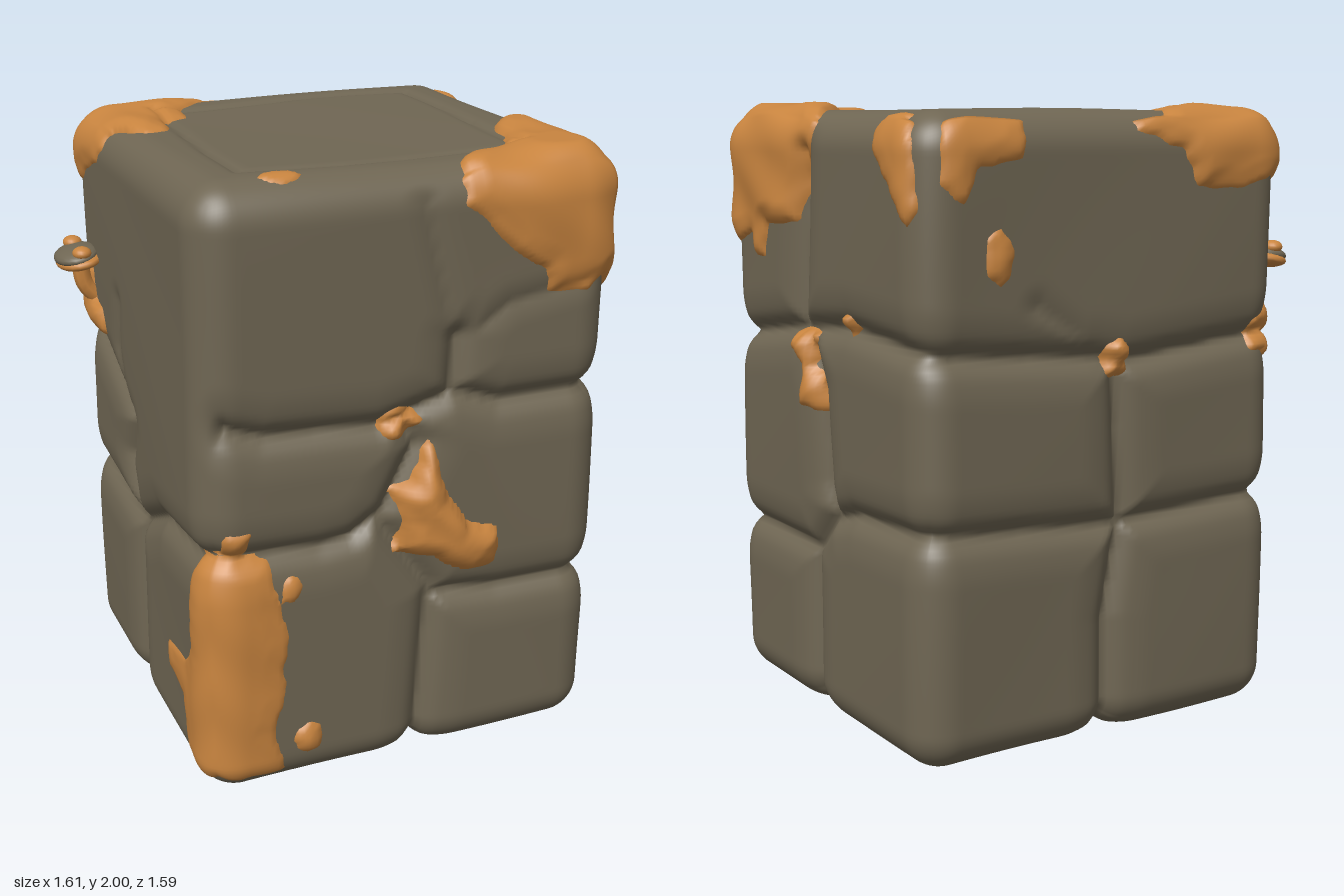
import * as THREE from 'three';
import { mergeVertices } from 'three/addons/utils/BufferGeometryUtils.js';

const HX = 0.68, HZ = 0.658, HEIGHT = 1.965, BASE = 0.008, R = 0.125; // half widths, height, foot, edge radius
const EDGE = 0.64, LOOP = 8 * EDGE; // sides unroll to a strip: front, right, back, left

// Joints between stones as polylines of (distance round the block, height)
const BEDS = [
  [[-0.58, 1.26], [-0.45, 1.22], [-0.1, 1.2], [0.14, 1.27], [0.28, 1.22], [0.64, 1.22],
    [0.75, 1.23], [1.1, 1.28], [1.45, 1.31], [1.92, 1.27], [2.5, 1.23], [2.6, 1.21], [3.2, 1.27],
    [3.65, 1.08], [3.71, 1.03]],
  [[0.075, 0.59], [0.3, 0.57], [0.73, 0.57], [1.19, 0.56], [1.3, 0.68], [1.45, 0.72],
    [1.92, 0.74], [2.58, 0.7], [3.2, 0.73], [3.74, 0.66], [4.0, 0.79], [4.48, 0.85],
    [4.84, 0.83], [4.94, 0.84], [5.03, 0.9]],
];
const UPRIGHTS = [
  [[0.14, 1.45], [0.13, 1.27]],
  [[-0.02, 1.2], [0.02, 1.12], [-0.09, 0.88], [0.075, 0.62], [0.06, 0.4], [0.035, 0]],
  [[1.18, 1.85], [1.14, 1.27]],
  [[1.19, 1.27], [1.27, 1.1], [1.29, 0.8], [1.32, 0.7]],
  [[1.19, 0.56], [1.2, 0]],
  [[2.58, 1.21], [2.61, 0.71], [2.56, 0.4], [2.56, 0]],
  [[3.73, 1.03], [3.66, 0.87], [3.74, 0.66], [3.74, 0]],
];
const CRACKS = [
  [[0.03, 1.88], [0.13, 1.42], [0.3, 1.54], [0.53, 1.58]],
  [[3.71, 1.04], [3.63, 1.25], [3.66, 1.42]],
  [[2.3, 1.4], [2.55, 1.22]],
];

// Moss outlines on the strip
const FRONT_CORNER = [[0.15, 2.3], [0.15, 1.86], [0.22, 1.8], [0.3, 1.7], [0.4, 1.64], [0.42, 1.56],
  [0.55, 1.55], [0.62, 1.6], [0.7, 1.54], [0.83, 1.57], [0.86, 1.5], [0.92, 1.5], [0.95, 1.61],
  [1.13, 1.62], [1.18, 1.78], [1.24, 1.9], [1.24, 2.3]];
const BACK_CORNER = [[2.64, 2.3], [2.64, 1.92], [2.8, 1.85], [2.85, 1.74], [3, 1.73], [3.15, 1.77],
  [3.3, 1.74], [3.4, 1.81], [3.5, 1.84], [3.54, 1.9], [3.54, 2.3]];
const LOW_CORNER = [[-0.76, 0.85], [-0.78, 0.5], [-0.85, 0.42], [-1.03, 0.4], [-1.03, 0.3], [-0.88, 0.28],
  [-0.85, 0.1], [-0.7, 0.05], [-0.39, 0.06], [-0.42, 0.15], [-0.44, 0.24], [-0.4, 0.36], [-0.41, 0.45],
  [-0.39, 0.55], [-0.42, 0.7], [-0.44, 0.82], [-0.51, 0.84], [-0.5, 0.93], [-0.57, 0.94], [-0.61, 0.86]];
const FRONT_TUFT = [[0.06, 1.14], [0.11, 0.94], [0.18, 0.84], [0.28, 0.8], [0.28, 0.68], [0.18, 0.66],
  [0.08, 0.73], [-0.05, 0.76], [-0.02, 0.87], [-0.06, 0.97], [0.01, 1.01]];
const RIGHT_TUFT = [[1.09, 1.28], [1.25, 1.28], [1.21, 1.17], [1.28, 1.13], [1.28, 1.03], [1.16, 1.03],
  [1.17, 1.17], [1.09, 1.22]];
const RIGHT_TOP = [[1.62, 2.1], [1.64, 1.87], [1.74, 1.75], [1.84, 1.64], [1.89, 1.69], [1.87, 1.82], [1.8, 2.1]];
const BACK_TOP = [[1.99, 1.94], [1.98, 1.76], [2.06, 1.7], [2.1, 1.81], [2.24, 1.83], [2.28, 2.1], [2.06, 2.1]];
const SHELF_ROOT = [[3.08, 1.22], [3.18, 1.19], [3.36, 1.2], [3.49, 1.25], [3.47, 1.33], [3.4, 1.35], [3.38, 1.45],
  [3.31, 1.45], [3.28, 1.35], [3.1, 1.31]];
// Moss outlines on the top
const TOP_FRONT = [[0.16, 0.9], [0.17, 0.58], [0.24, 0.5], [0.38, 0.45], [0.45, 0.32], [0.48, 0.2],
  [0.64, 0.05], [0.9, 0.05], [0.9, 0.9]];
const TOP_BACK = [[-0.2, -0.9], [-0.2, -0.64], [-0.25, -0.55], [-0.35, -0.47], [-0.37, -0.34],
  [-0.45, -0.31], [-0.49, -0.16], [-0.57, -0.15], [-0.65, -0.3], [-0.9, -0.3], [-0.9, -0.9]];
const TOP_RIGHT = [[0.63, -0.52], [0.6, -0.45], [0.63, -0.37], [0.9, -0.37], [0.9, -0.52]];

const oval = (x, y, rx, ry) => Array.from({ length: 8 }, (_, i) =>
  [x + rx * Math.cos(i * Math.PI / 4), y + ry * Math.sin(i * Math.PI / 4)]);

// [outline, thickness]
const SIDE_MOSS = [[FRONT_CORNER, 0.034], [BACK_CORNER, 0.025], [LOW_CORNER, 0.018], [FRONT_TUFT, 0.07],
  [RIGHT_TUFT, 0.04], [RIGHT_TOP, 0.018], [BACK_TOP, 0.02], [SHELF_ROOT, 0.045],
  [oval(-0.378, 0.72, 0.032, 0.04), 0.025], [oval(-0.33, 0.18, 0.048, 0.055), 0.025],
  [oval(-0.035, 1.2, 0.065, 0.05), 0.05], [oval(1.45, 1.32, 0.035, 0.03), 0.05],
  [oval(2.17, 1.55, 0.05, 0.08), 0.02], [oval(2.58, 1.22, 0.05, 0.06), 0.06]];
const TOP_MOSS = [[TOP_FRONT, 0.034], [TOP_BACK, 0.025], [TOP_RIGHT, 0.018], [oval(-0.39, 0.56, 0.06, 0.045), 0.02]];

function segmentDistance(x, y, [ax, ay], [bx, by]) {
  const dx = bx - ax, dy = by - ay;
  const t = Math.min(1, Math.max(0, ((x - ax) * dx + (y - ay) * dy) / (dx * dx + dy * dy)));
  return Math.hypot(x - ax - t * dx, y - ay - t * dy);
}

function lineDistance(lines, s, y) {
  let d = 1;
  for (const line of lines) for (const turn of [-LOOP, 0, LOOP])
    for (let i = 1; i < line.length; i++) d = Math.min(d, segmentDistance(s + turn, y, line[i - 1], line[i]));
  return d;
}

// Distance to an outline, positive inside
function insideDistance(poly, x, y) {
  let d = 1, inside = false;
  poly.forEach((a, i) => {
    const b = poly[(i + 1) % poly.length];
    d = Math.min(d, segmentDistance(x, y, a, b));
    if ((a[1] > y) !== (b[1] > y) && x < a[0] + (b[0] - a[0]) * (y - a[1]) / (b[1] - a[1])) inside = !inside;
  });
  return inside ? d : -d;
}

function stripPosition(x, z) {
  const a = x / HX, b = z / HZ, near = 1e-6;
  if (b >= Math.abs(a) - near) return a * EDGE;
  if (a >= Math.abs(b) - near) return EDGE * (2 - b);
  if (-b >= Math.abs(a) - near) return EDGE * (4 - a);
  return EDGE * (b - 2);
}

const isSide = (x, z) => Math.max(Math.abs(x) / HX, Math.abs(z) / HZ) > 0.9999;
const groove = (d, depth, width) => depth * Math.pow(Math.max(0, 1 - d / width), 2);
const joint = (d) => groove(d, 0.035, 0.15) + groove(d, 0.027, 0.065); // soft shoulder and sharp crease

// How far the surface sinks at a point: joints, cracks, top panel, underside cross
function sink(x, y, z) {
  if (isSide(x, z)) {
    const s = stripPosition(x, z);
    return Math.max(joint(Math.min(lineDistance(BEDS, s, y), lineDistance(UPRIGHTS, s, y))),
      groove(lineDistance(CRACKS, s, y), 0.016, 0.08));
  }
  if (y > 1) {
    const edge = Math.max(Math.abs(x + 0.015 * Math.sin(5 * z)), Math.abs(z + 0.015 * Math.sin(6 * x)));
    return groove(Math.abs(edge - 0.465), 0.014, 0.035) + (edge < 0.465 ? 0.004 : 0);
  }
  return joint(Math.min(Math.abs(x - 0.02 - 0.03 * z), Math.abs(z + 0.025 - 0.16 * x)));
}

// Height of moss above the stone, negative outside the patches
function mossHeight(x, y, z) {
  const side = isSide(x, z), s = stripPosition(x, z);
  const ragged = 0.006 * Math.sin(47 * x + 31 * y) * Math.sin(41 * z + 37 * y);
  const lumps = 0.8 + 0.3 * Math.sin(17 * x + 9 * y) * Math.sin(15 * z - 13 * y);
  let best = -0.03;
  for (const [poly, thick] of side ? SIDE_MOSS : y > 1 ? TOP_MOSS : [])
    for (const turn of side ? [-LOOP, 0, LOOP] : [0]) {
      const d = insideDistance(poly, side ? s + turn : x, side ? y : z) + ragged;
      best = Math.max(best, d > 0 ? thick * lumps * Math.sqrt(Math.min(1, d / 0.06)) : Math.max(d, -0.03));
    }
  return best;
}

// Rounded block whose vertices move along their normals; with moss, only the patches remain
function blockSurface(across, up, moss) {
  let geo = new THREE.BoxGeometry(2 * HX, HEIGHT, 2 * HZ, across, up, across);
  geo.deleteAttribute('normal');
  geo.deleteAttribute('uv');
  geo = mergeVertices(geo);
  geo.clearGroups();
  const pos = geo.attributes.position, heights = [];
  const p = new THREE.Vector3(), core = new THREE.Vector3();
  const limit = new THREE.Vector3(HX - R, HEIGHT / 2 - R, HZ - R), low = limit.clone().negate();
  for (let i = 0; i < pos.count; i++) {
    p.fromBufferAttribute(pos, i);
    const { x, z } = p, y = p.y + HEIGHT / 2 + BASE;
    const h = moss ? mossHeight(x, y, z) : 0;
    heights.push(h);
    core.copy(p).clamp(low, limit);
    const wobble = 0.006 * Math.sin(5 * x + 2 * y) * Math.sin(4 * z + 3 * y);
    const rise = moss && h <= -0.03 ? h : h + wobble - sink(x, y, z);
    p.sub(core).normalize().multiplyScalar(R + rise).add(core);
    pos.setXYZ(i, p.x, Math.min(2, Math.max(0, p.y + HEIGHT / 2 + BASE)), p.z);
  }
  if (moss) {
    const kept = [], idx = geo.index.array;
    for (let i = 0; i < idx.length; i += 3) {
      const tri = [idx[i], idx[i + 1], idx[i + 2]];
      if (tri.some((v) => heights[v] > 0)) kept.push(...tri);
    }
    geo.setIndex(kept);
  }
  geo.computeVertexNormals();
  return geo;
}

export function createModel() {
  const stone = new THREE.MeshStandardMaterial({ name: 'stone', color: 0x6f6653 });
  const moss = new THREE.MeshStandardMaterial({ name: 'orange moss', color: 0xc8843f, side: THREE.DoubleSide });
  const model = new THREE.Group();
  model.name = 'mossyStoneBlock';
  const block = new THREE.Group();
  block.name = 'block';
  block.rotation.y = -0.236;
  model.add(block);

  const add = (name, geo, mat, [x, y, z] = [0, 0, 0], scale = [1, 1, 1], tilt = 0) => {
    const mesh = new THREE.Mesh(geo, mat);
    mesh.name = name;
    mesh.position.set(x, y, z);
    mesh.scale.set(...scale);
    mesh.rotation.z = tilt;
    block.add(mesh);
  };
  add('stones', blockSurface(80, 116, false), stone);
  add('mossPatches', blockSurface(96, 150, true), moss);

  // Small shelf growing from the left side near the back
  const ball = new THREE.SphereGeometry(1, 20, 12);
  const stalk = new THREE.CatmullRomCurve3([[-0.66, 1.34, -0.48], [-0.71, 1.4, -0.48], [-0.725, 1.49, -0.48]]
    .map((v) => new THREE.Vector3(...v)));
  add('shelfStalk', new THREE.TubeGeometry(stalk, 8, 0.03, 8), moss);
  add('shelfUnderside', ball, moss, [-0.725, 1.49, -0.48], [0.08, 0.03, 0.11], 0.2);
  add('shelfCap', ball, stone, [-0.735, 1.505, -0.48], [0.075, 0.03, 0.1], 0.2);
  for (const [y, z] of [[1.53, -0.545], [1.525, -0.415]])
    add('shelfTuft', ball, moss, [-0.73, y, z], [0.032, 0.022, 0.035]);
  return model;
}
